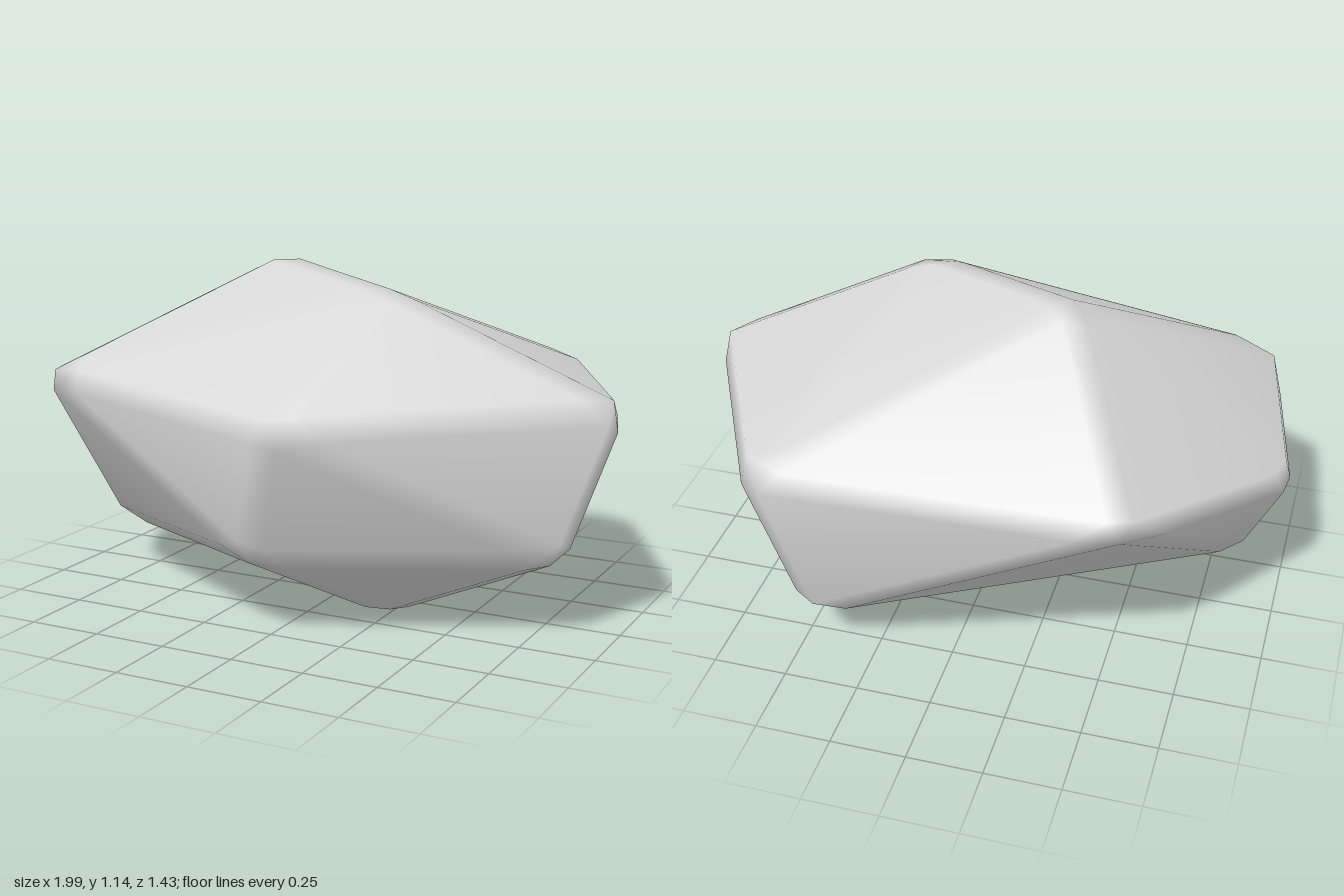
import * as THREE from 'three';
import { ConvexGeometry } from 'three/addons/geometries/ConvexGeometry.js';
import { mergeVertices } from 'three/addons/utils/BufferGeometryUtils.js';

const BEVEL = 0.045;

// Corners of the rock before its edges are worn down
const corners = [
  [-0.28, 1.156, -0.07], [0.28, 1.097, 0.22], // crest
  [-0.9, 0.775, 0.475], [0.115, 0.72, 0.739], [1.031, 0.755, 0.09], // upper ring
  [0.61, 0.745, -0.727], [-0.595, 0.72, -0.66],
  [-1.034, 0.54, 0.03], // left point
  [-0.87, 0.187, 0.07], [-0.02, 0.272, 0.62], [0.878, 0.27, 0.19], [0.46, 0.158, -0.63], // lower ring
  [0.24, -0.02, 0.12], // base
].map((c) => new THREE.Vector3(...c));

// Shrinks every facet in its own plane; the hull of the results has bevelled edges
function bevelledHull(points, width) {
  const pos = new ConvexGeometry(points).attributes.position;
  const inset = [];
  for (let i = 0; i < pos.count; i += 3) {
    const p = [0, 1, 2].map((k) => new THREE.Vector3().fromBufferAttribute(pos, i + k));
    const sides = p.map((_, k) => p[(k + 1) % 3].distanceTo(p[(k + 2) % 3]));
    const perimeter = sides[0] + sides[1] + sides[2];
    const centre = new THREE.Vector3();
    p.forEach((v, k) => centre.addScaledVector(v, sides[k] / perimeter));
    const inradius = (2 * new THREE.Triangle(...p).getArea()) / perimeter;
    p.forEach((v) => inset.push(v.clone().lerp(centre, Math.min(0.5, width / inradius))));
  }
  return new ConvexGeometry(inset);
}

export function createModel() {
  const stone = new THREE.MeshStandardMaterial({ color: 0xd6d6d6 });
  stone.name = 'pale stone grey';

  // Shared vertices give area-weighted normals: flat facets, soft edges
  let geometry = bevelledHull(corners, BEVEL);
  geometry.deleteAttribute('normal');
  geometry = mergeVertices(geometry, 1e-4);
  geometry.computeVertexNormals();

  const rock = new THREE.Mesh(geometry, stone);
  rock.name = 'rock';
  const model = new THREE.Group();
  model.name = 'boulder';
  model.add(rock);
  return model;
}
